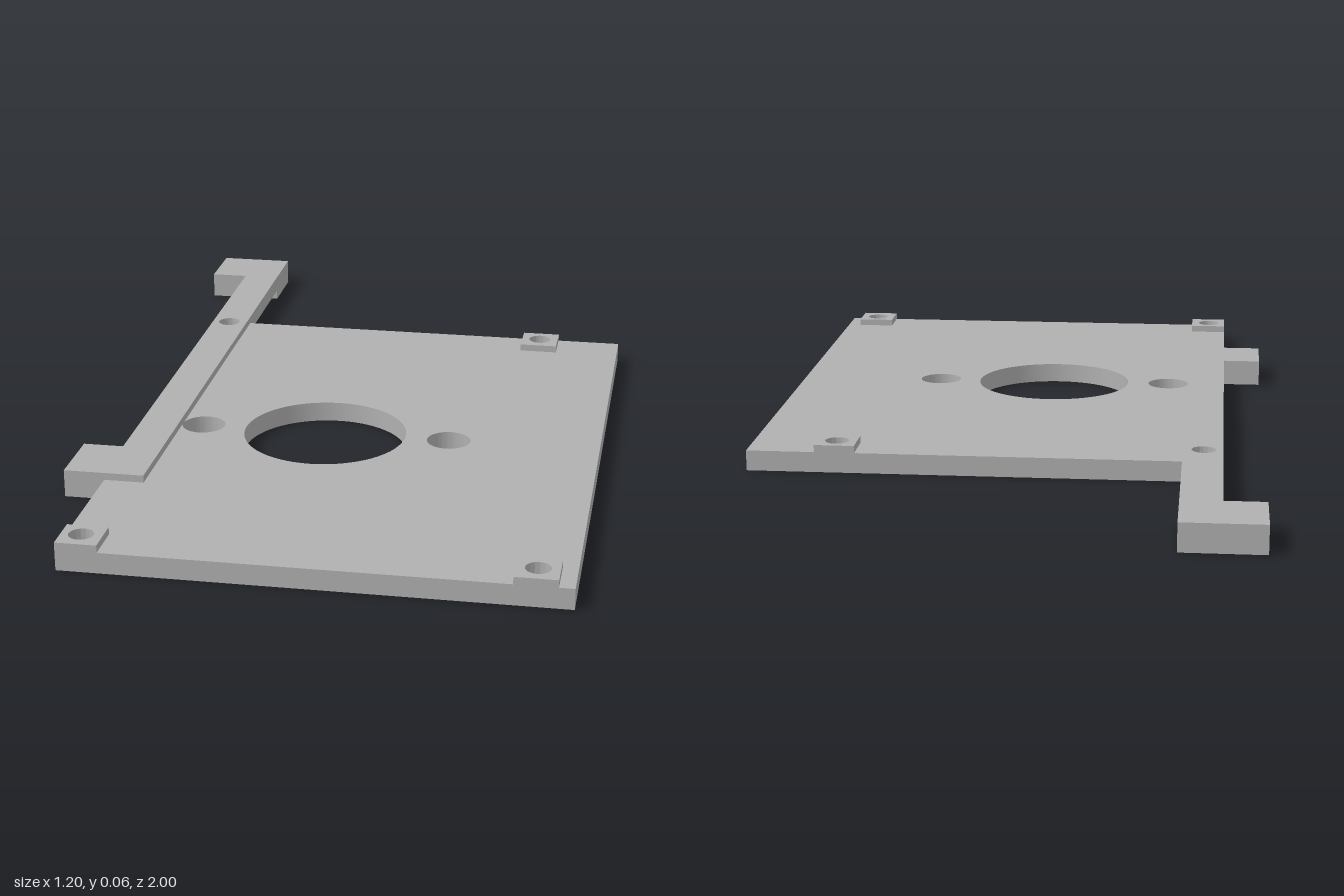
import * as THREE from 'three';
import { toCreasedNormals } from 'three/addons/utils/BufferGeometryUtils.js';

const PLATE_TOP = 0.048, TOP = 0.065;
const LEFT = -0.505, RAIL_IN = -0.412, TAB_OUT = -0.6, BACK = -0.485;

// Closed rectangle path
function rect(PathType, x0, y0, x1, y1) {
  const p = new PathType();
  p.moveTo(x0, y0).lineTo(x1, y0).lineTo(x1, y1).lineTo(x0, y1).closePath();
  return p;
}

export function createModel() {
  const group = new THREE.Group();
  const grey = new THREE.MeshStandardMaterial({ color: 0xb0b0b0 });
  grey.name = 'plain grey';

  function add(name, geometry) {
    const mesh = new THREE.Mesh(geometry, grey);
    mesh.name = name;
    group.add(mesh);
  }

  function extrude(shape, depth) {
    return new THREE.ExtrudeGeometry(shape, { depth, bevelEnabled: false, curveSegments: 32 });
  }

  // Flat slab from y0 to y1, pierced by round holes given as [x, z, radius]
  function slab(name, x0, x1, z0, z1, y0, y1, holes = []) {
    const shape = rect(THREE.Shape, x0, -z1, x1, -z0);
    for (const [x, z, r] of holes) {
      shape.holes.push(new THREE.Path().absarc(x, -z, r, 0, Math.PI * 2, true));
    }
    const g = extrude(shape, y1 - y0);
    g.rotateX(-Math.PI / 2).translate(0, y0, 0);
    add(name, toCreasedNormals(g, 0.6));
  }

  // Mounting plate with screw holes, a large centre opening and two side holes
  const R = 0.028;
  const frontRailHole = [-0.46, 0.95, R], backRailHole = [-0.46, -0.44, R];
  const frontHole = [0.519, 0.95, R], backHole = [0.393, -0.44, R];
  slab('basePlate', LEFT, 0.6, BACK, 1, 0, PLATE_TOP, [
    frontRailHole, backRailHole, frontHole, backHole,
    [-0.06, 0.26, 0.195], [-0.36, 0.26, 0.052], [0.24, 0.26, 0.052],
  ]);

  // Raised square pads around the screw holes
  slab('frontRailSidePad', LEFT, RAIL_IN, 0.906, 1, PLATE_TOP, TOP, [frontRailHole]);
  slab('frontPad', 0.472, 0.566, 0.906, 1, PLATE_TOP, TOP, [frontHole]);
  slab('backPad', 0.346, 0.44, BACK, -0.391, PLATE_TOP, TOP, [backHole]);

  // Side rail: strip on the plate, then an arm reaching out behind it
  slab('railStrip', LEFT, RAIL_IN, BACK, 0.625, PLATE_TOP, TOP, [backRailHole]);
  slab('railArm', LEFT, RAIL_IN, -0.84, BACK, 0.025, TOP);
  slab('railEndBlock', LEFT, RAIL_IN, -1, -0.84, 0, TOP);

  // Side tabs with a rectangular pocket in the outer face
  for (const [name, z] of [['frontTab', 0.545], ['backTab', -0.92]]) {
    const shape = rect(THREE.Shape, -0.08, 0, 0.08, TOP);
    shape.holes.push(rect(THREE.Path, -0.05, 0.018, 0.05, 0.047));
    const g = extrude(shape, LEFT - TAB_OUT);
    g.rotateY(Math.PI / 2).translate(TAB_OUT, 0, z);
    add(name, g);
  }

  return group;
}
